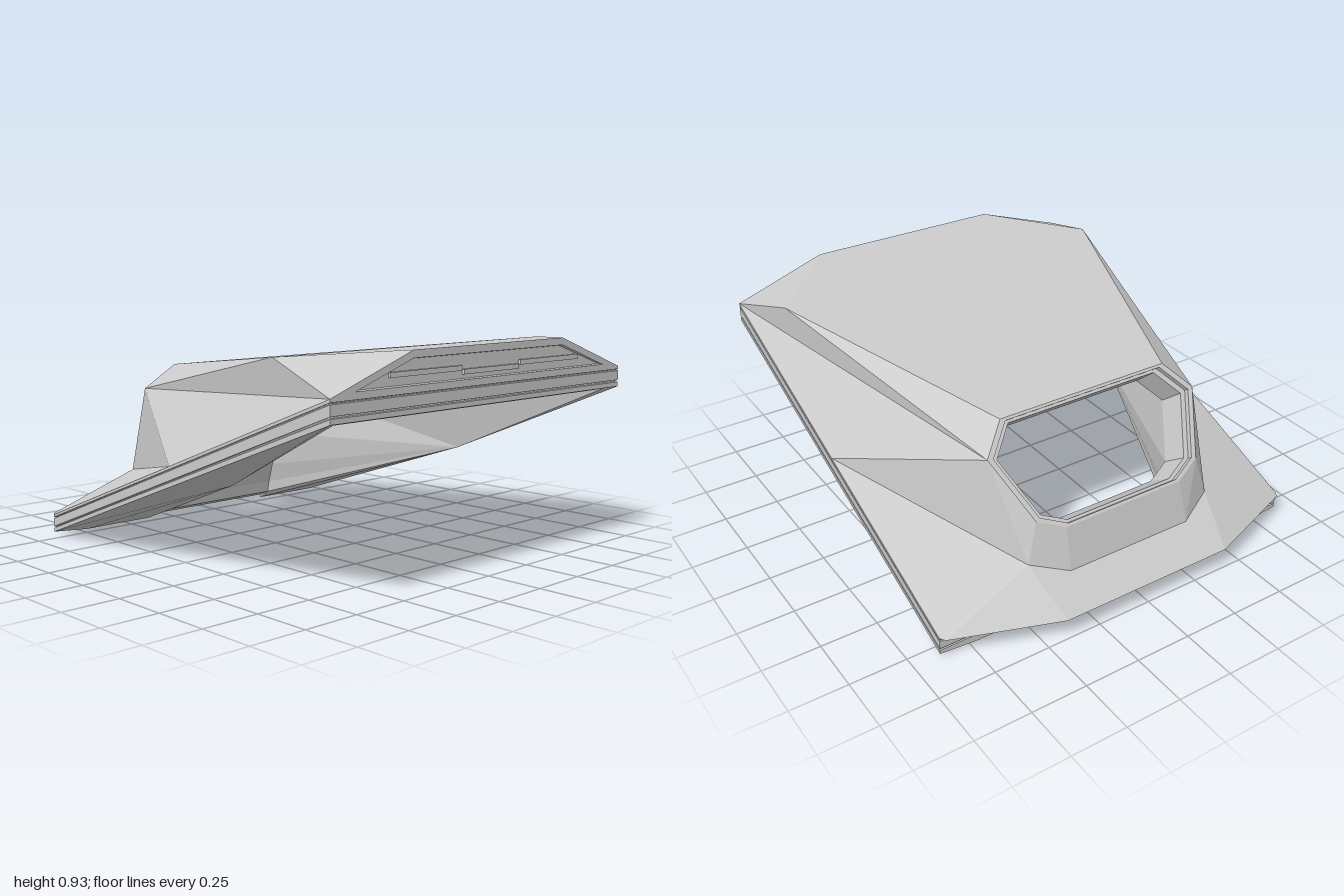
import * as THREE from 'three';

const material = new THREE.MeshStandardMaterial({ color: 0xcccccc, flatShading: true, side: THREE.DoubleSide });
const flip = ([x, y, z]) => [-x, y, z];

// Builds a faceted mesh from convex polygons
function facets(name, polygons) {
  const pos = [];
  for (const p of polygons)
    for (let i = 1; i < p.length - 1; i++) pos.push(...p[0], ...p[i], ...p[i + 1]);
  const g = new THREE.BufferGeometry();
  g.setAttribute('position', new THREE.Float32BufferAttribute(pos, 3));
  g.computeVertexNormals();
  const mesh = new THREE.Mesh(g, material);
  mesh.name = name;
  return mesh;
}

// Turns a polygon to face away from (sign 1) or towards (sign -1) a reference point
function orient(poly, ref, sign) {
  const [a, b, c] = poly.map((p) => new THREE.Vector3(...p));
  const n = b.clone().sub(a).cross(c.sub(a));
  return n.dot(a.sub(ref)) * sign < 0 ? [...poly].reverse() : poly;
}

// Panels given for the left half are mirrored; spans join an edge to its mirror image
function panels(name, ref, sign, halves, spans = []) {
  const polys = halves.flatMap((h) => [h, h.map(flip)]);
  for (const [a, b] of spans) polys.push([a, b, flip(b), flip(a)]);
  return facets(name, polys.map((p) => orient(p, ref, sign)));
}

// Joins successive closed loops of points with quads
function strips(loops) {
  const out = [];
  for (let k = 0; k < loops.length - 1; k++) {
    const a = loops[k], b = loops[k + 1];
    a.forEach((p, i) => {
      const j = (i + 1) % a.length;
      out.push([p, a[j], b[j], b[i]]);
    });
  }
  return out;
}

export function createModel() {
  const group = new THREE.Group();
  const hullCentre = new THREE.Vector3(0, 0.42, -0.1);
  const cavity = new THREE.Vector3(0, 0.35, 0);

  // Main corners, left half
  const noseLow = [0.885, 0.79, 1], noseTop = [0.46, 0.935, 1];
  const shoulder = [0.81, 0.905, 0.62];
  const L1 = [0.41, 0.78, -0.51], L2 = [0.52, 0.67, -0.59];
  const L3 = [0.41, 0.44, -0.77], L4 = [0.29, 0.39, -0.81];
  const B3 = [0.46, 0.26, -0.79], B4 = [0.3, 0.207, -0.86];
  const rimMid = [0.885, 0.439, 0.08], rimRear = [0.885, 0.1, -0.81];
  const deckSide = [0.87, 0.1, -0.835], deckRear = [0.41, 0.1, -1];

  group.add(panels('roof', hullCentre, 1, [[shoulder, L2, L1]],
    [[noseTop, shoulder], [shoulder, L1]]));
  group.add(panels('sidePanels', hullCentre, 1, [
    [noseLow, noseTop, shoulder],
    [noseLow, shoulder, L2],
    [noseLow, L2, rimMid],
    [rimMid, L2, B3],
    [rimMid, B3, rimRear],
  ]));
  group.add(panels('windowCollar', hullCentre, 1,
    [[L2, L3, B3], [L3, L4, B4], [L3, B4, B3]], [[L4, B4]]));
  group.add(panels('rearDeck', hullCentre, 1, [
    [B3, rimRear, deckSide],
    [B3, deckSide, deckRear],
    [B3, deckRear, B4],
    [rimRear, deckSide, deckRear],
  ], [[B4, deckRear], [rimRear, deckRear]]));

  // Stepped window frame and short tunnel
  const lip = [flip(L1), L1, L2, L3, L4, flip(L4), flip(L3), flip(L2)];
  const c = [0, 0.585, -0.66], inward = [0, -0.61, 0.79];
  const ring = ([s, d]) => lip.map((p) => p.map((v, i) => c[i] + (v - c[i]) * s + inward[i] * d));
  const rings = [[1, 0], [0.95, 0], [0.95, 0.025], [0.9, 0.025], [0.87, 0.15]].map(ring);
  group.add(facets('windowFrame', strips(rings)));
  const [, I1, I2, I3, I4] = rings[4];

  // Rim band with a shallow groove
  const rimLoop = ([t, d]) => {
    const x = 0.885 - d, front = 0.7 + 0.09 * t, rear = 0.02 + 0.08 * t;
    return [[-x, front, 1 - d], [x, front, 1 - d], [x, rear, -0.81 + d], [-x, rear, -0.81 + d]];
  };
  group.add(facets('rimBand', strips(
    [[0, 0], [0.22, 0], [0.24, 0.008], [0.3, 0.008], [0.32, 0], [0.78, 0], [0.8, 0.006], [0.84, 0.006], [0.86, 0], [1, 0]].map(rimLoop))));

  // Nose face with a recessed panel
  const trapezoid = (x0, y0, x1, y1, z) => [[-x0, y0, z], [x0, y0, z], [x1, y1, z], [-x1, y1, z]];
  const noseLoops = [
    trapezoid(0.885, 0.79, 0.46, 0.935, 1),
    trapezoid(0.76, 0.805, 0.46, 0.905, 1),
    trapezoid(0.75, 0.808, 0.455, 0.902, 0.985),
  ];
  group.add(facets('nose', [...strips(noseLoops), noseLoops[2]]));
  for (const [name, x, y, w] of [['noseBarCentre', 0, 0.835, 0.34], ['noseBarLeft', 0.38, 0.85, 0.4], ['noseBarRight', -0.38, 0.85, 0.4]]) {
    const bar = new THREE.Mesh(new THREE.BoxGeometry(w, 0.02, 0.012), material);
    bar.position.set(x, y, 0.99);
    bar.name = name;
    group.add(bar);
  }

  // Underside frame around the open belly
  const outFront = [0.885, 0.7, 1], outRear = [0.885, 0.02, -0.81];
  const F = [0.83, 0.69, 0.96], K = [0.7, 0.36, 0.25];
  const P = [0.71, 0.005, -0.81], R = [0.36, 0.005, -0.81];
  const rearLow = [0.36, 0.02, -0.81], R2 = [0.36, 0.045, -0.75];
  group.add(panels('undersideFrame', hullCentre, 1, [
    [outFront, F, K],
    [outFront, K, outRear],
    [outRear, K, P],
    [P, K, R],
    [K, R, R2],
    [outRear, P, R, rearLow],
    [R, rearLow, R2],
  ], [[outFront, F], [rearLow, R2]]));

  // Inner lining from the belly opening up to the window tunnel
  const T = [0.36, 0.1, -0.74], S = [0.35, 0.2, -0.7];
  group.add(panels('innerLining', cavity, -1, [
    [F, I2, I1],
    [F, K, I2],
    [K, I3, I2],
    [K, S, I3],
    [K, T, S],
    [K, R2, T],
    [S, I4, I3],
  ], [[F, I1], [I4, S], [S, T], [T, R2]]));

  return group;
}
